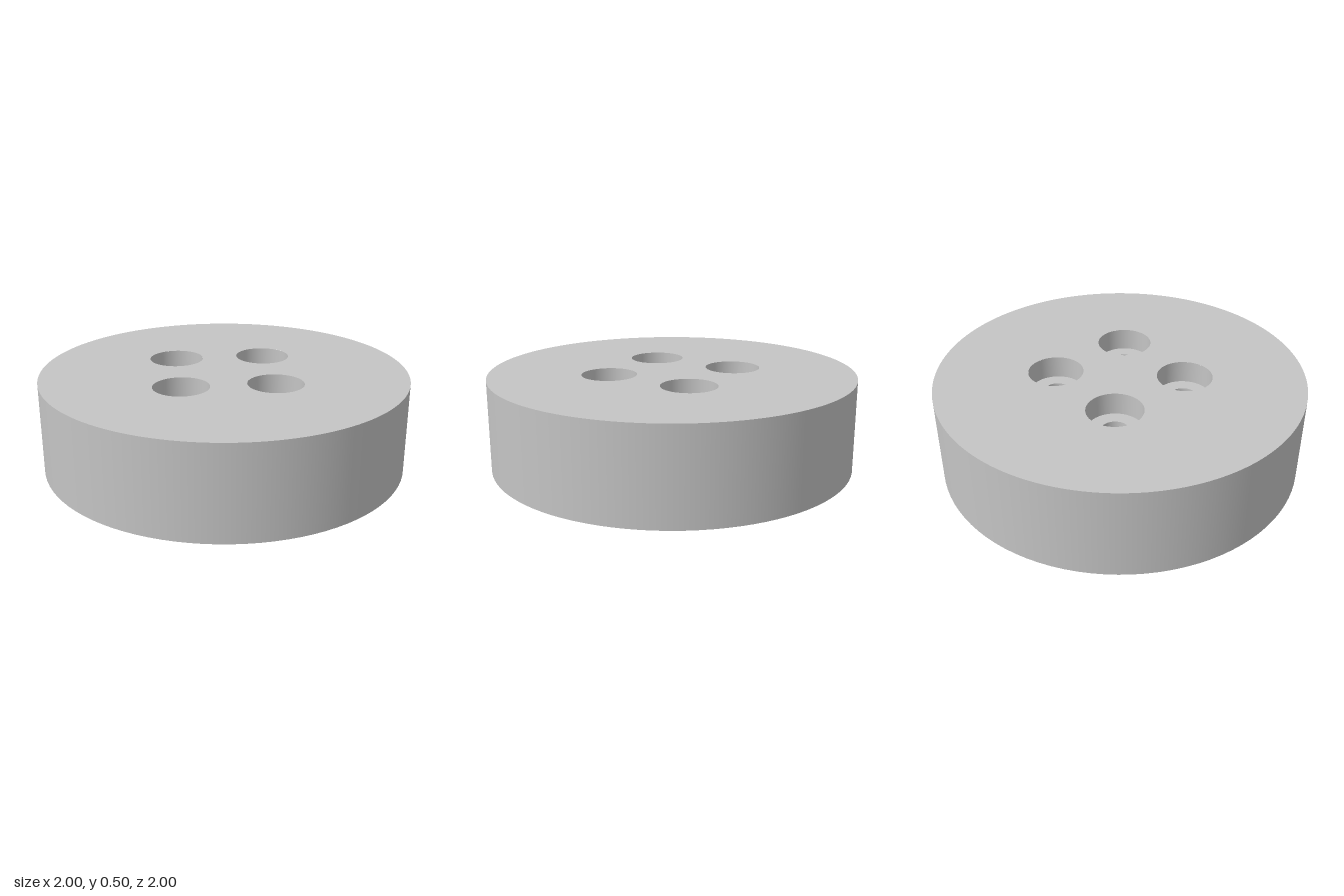
import * as THREE from 'three';
import { mergeGeometries } from 'three/addons/utils/BufferGeometryUtils.js';

const HEIGHT = 0.5, RADIUS = 1;
const RECESS_R = 0.51, RECESS_Y = 0.1;           // shallow recess underneath
const HOLE_R = 0.075, BORE_R = 0.15, BORE_Y = 0.375; // counterbored holes
const PITCH = 0.35;
const SEG = 96;

// Turned profile, one lathe per segment so every edge stays crisp
function turned(points, seg = SEG) {
  const parts = [];
  for (let i = 0; i < points.length - 1; i++) {
    const pair = [points[i], points[i + 1]].map(([r, y]) => new THREE.Vector2(r, y));
    const g = new THREE.LatheGeometry(pair, seg);
    g.normalizeNormals();
    parts.push(g);
  }
  return mergeGeometries(parts);
}

// Flat disc pierced by the four holes, facing up or down
function piercedDisc(radius, holeRadius, y, up) {
  const shape = new THREE.Shape().absarc(0, 0, radius, 0, Math.PI * 2, false);
  for (const [x, z] of holeCentres) {
    shape.holes.push(new THREE.Path().absarc(x, z, holeRadius, 0, Math.PI * 2, true));
  }
  return new THREE.ShapeGeometry(shape, SEG)
    .rotateX(up ? -Math.PI / 2 : Math.PI / 2)
    .translate(0, y, 0);
}

const holeCentres = [[PITCH, 0], [0, PITCH], [-PITCH, 0], [0, -PITCH]];

export function createModel() {
  const group = new THREE.Group();
  group.name = 'counterboredDisc';
  const grey = new THREE.MeshStandardMaterial({ color: 0xc4c4c4 });
  grey.name = 'light grey';

  const add = (name, geometry, x = 0, z = 0) => {
    const mesh = new THREE.Mesh(geometry, grey);
    mesh.name = name;
    mesh.position.set(x, 0, z);
    group.add(mesh);
  };

  // Recess wall, underside ring and outer wall
  add('body', turned([[RECESS_R, RECESS_Y], [RECESS_R, 0], [RADIUS, 0], [RADIUS, HEIGHT]]));
  add('topFace', piercedDisc(RADIUS, BORE_R, HEIGHT, true));
  add('recessCeiling', piercedDisc(RECESS_R, HOLE_R, RECESS_Y, false));

  // Counterbore wall, ledge and through hole
  const bore = turned([[BORE_R, HEIGHT], [BORE_R, BORE_Y], [HOLE_R, BORE_Y], [HOLE_R, RECESS_Y]]);
  holeCentres.forEach(([x, z], i) => add(`boltHole${i + 1}`, bore, x, z));

  return group;
}
